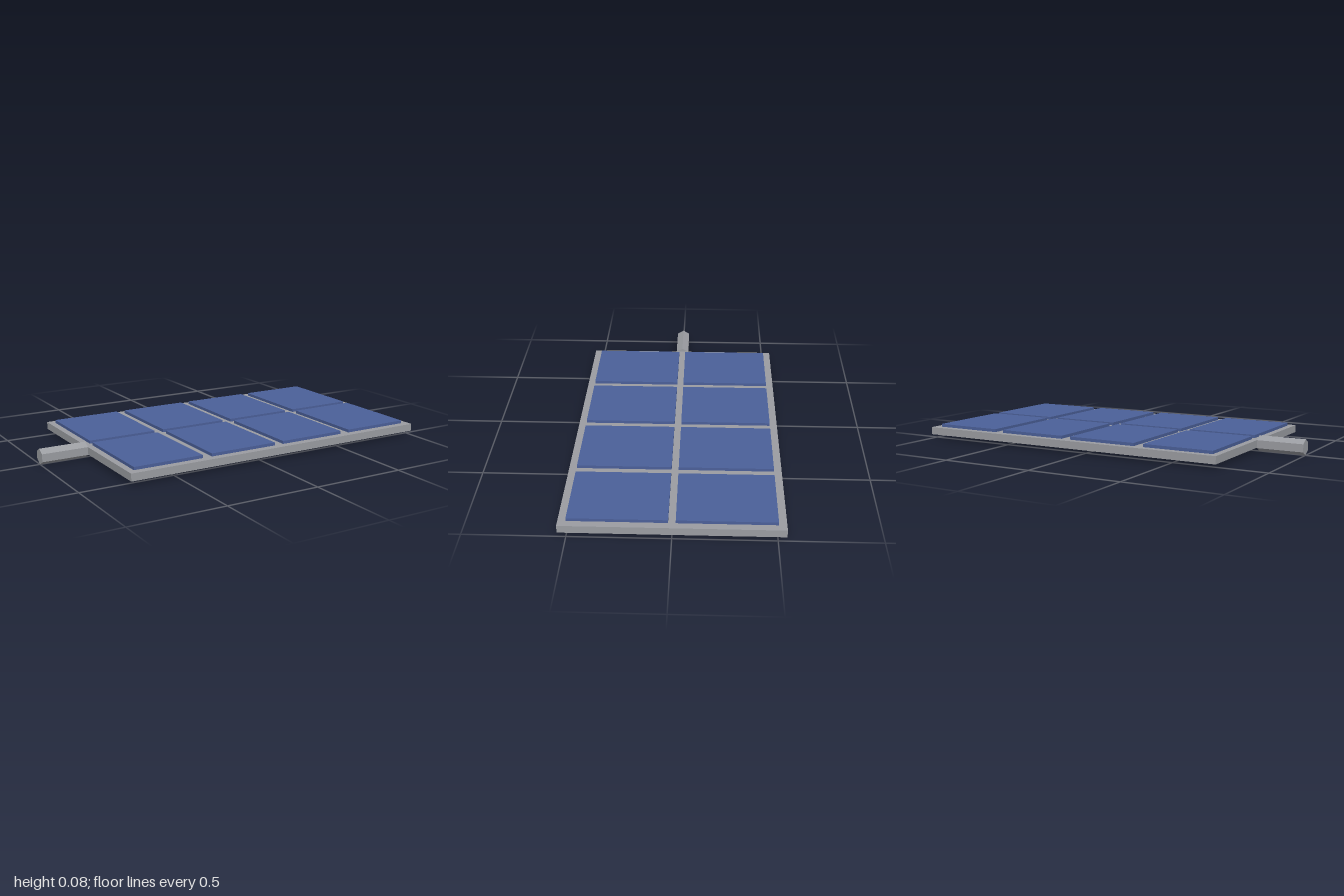
import * as THREE from 'three';

export function createModel() {
  const model = new THREE.Group();
  model.name = 'solarPanel';

  const metal = new THREE.MeshStandardMaterial({ color: 0x9b9da2, flatShading: true });
  metal.name = 'grey metal';
  const cellBlue = new THREE.MeshStandardMaterial({ color: 0x4b6099, flatShading: true });
  cellBlue.name = 'cell blue';

  const add = (name, geometry, material, x, y, z) => {
    const mesh = new THREE.Mesh(geometry, material);
    mesh.name = name;
    mesh.position.set(x, y, z);
    model.add(mesh);
  };

  // Flat backing frame
  add('frame', new THREE.BoxGeometry(1.75, 0.04, 1.084), metal, 0.125, 0.0425, 0);

  // Hexagonal mounting arm, with a ridge on top and below
  const arm = new THREE.CylinderGeometry(0.0417, 0.0417, 0.25, 6, 1, false, Math.PI / 6);
  arm.rotateZ(Math.PI / 2);
  add('mountingArm', arm, metal, -0.875, 0.0417, 0);

  // Two rows of four raised cells
  const cell = new THREE.BoxGeometry(0.38, 0.016, 0.484);
  for (const side of [-1, 1]) {
    for (let i = 0; i < 4; i++) {
      add('solarCell', cell, cellBlue, -0.526 + i * 0.4325, 0.0705, side * 0.26);
    }
  }
  return model;
}
